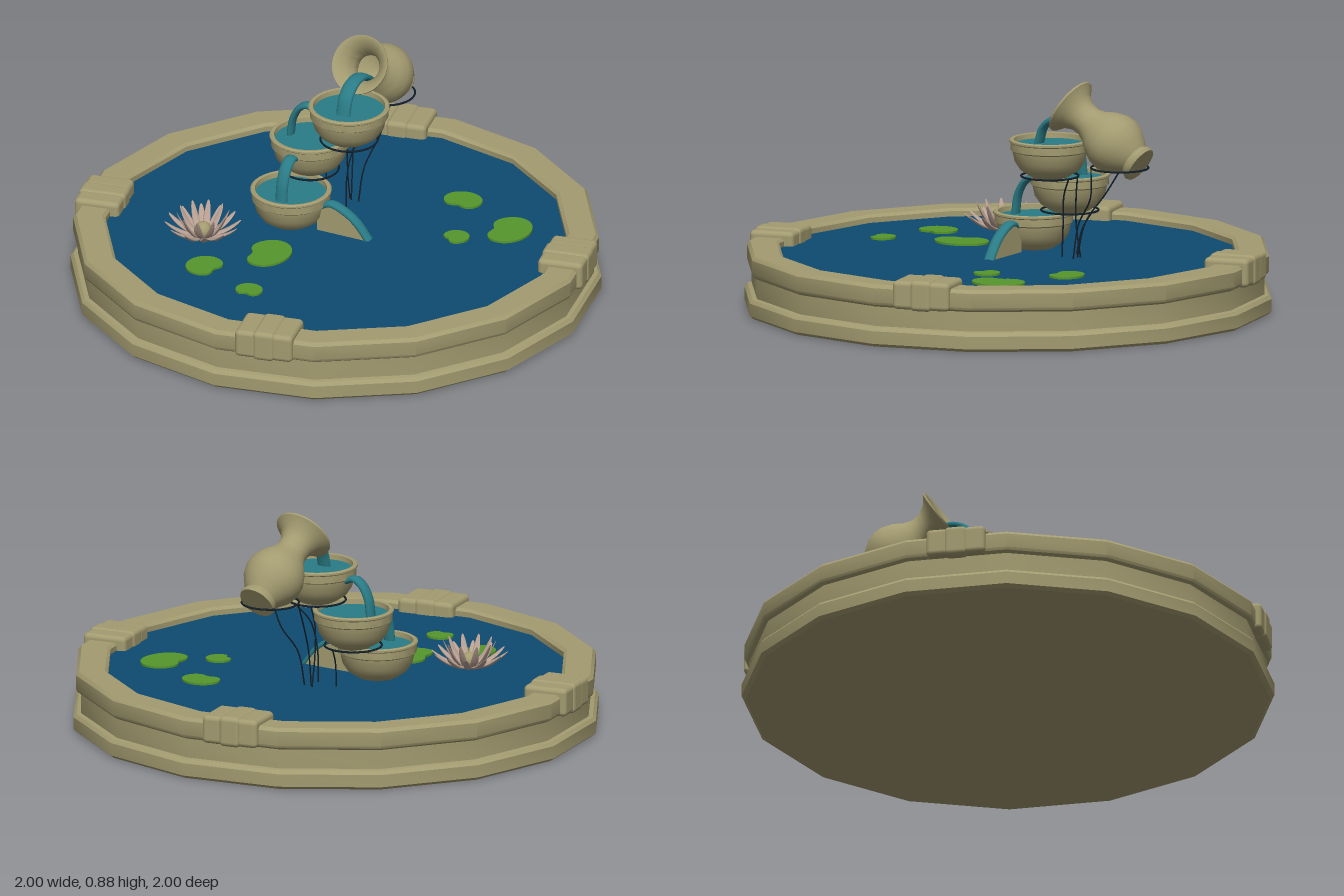
import * as THREE from 'three';
import { toCreasedNormals } from 'three/addons/utils/BufferGeometryUtils.js';
import { RoundedBoxGeometry } from 'three/addons/geometries/RoundedBoxGeometry.js';

const material = (name, color, side = THREE.FrontSide) => {
  const m = new THREE.MeshStandardMaterial({ color, side });
  m.name = name;
  return m;
};
const V = (x, y, z) => new THREE.Vector3(x, y, z);

export function createModel() {
  const model = new THREE.Group();
  model.name = 'fountain';
  const stone = material('stone', 0xa39b70);
  const pool = material('pool water', 0x0e4b72);
  const flow = material('flowing water', 0x2a7c87);
  const leaf = material('lily leaf', 0x55962c);
  const petalPink = material('petal', 0xb8a093);
  const iron = material('iron', 0x12202c);

  const add = (name, geo, mat, parent = model) => {
    const mesh = new THREE.Mesh(geo, mat);
    mesh.name = name;
    parent.add(mesh);
    return mesh;
  };
  const lathe = (pts, seg, crease = 0.5) => toCreasedNormals(
    new THREE.LatheGeometry(pts.map(([r, y]) => new THREE.Vector2(r, y)), seg), crease);

  // Sixteen-sided basin with a stepped wall
  add('basin', lathe([[0, 0], [0.985, 0], [1, 0.012], [1, 0.06], [0.988, 0.073], [0.972, 0.076],
    [0.972, 0.15], [0.985, 0.158], [0.99, 0.168], [0.99, 0.222], [0.978, 0.235], [0.88, 0.235],
    [0.868, 0.225], [0.868, 0.15]], 16), stone);
  const water = add('poolWater', new THREE.CircleGeometry(0.872, 16).rotateX(-Math.PI / 2), pool);
  water.position.y = 0.205;

  // Ribbed saddles over the rim
  for (let i = 0; i < 4; i++) {
    const saddle = new THREE.Group();
    saddle.name = 'rimSaddle';
    for (let j = -1; j <= 1; j++) {
      const big = j ? 0 : 0.008;
      const rib = add('saddleRib', new RoundedBoxGeometry(0.085, 0.108 + big, 0.175 + big, 3, 0.018), stone, saddle);
      rib.position.set(j * 0.07, 0.204, 0.905);
    }
    saddle.rotation.y = Math.PI / 16 + i * Math.PI / 2;
    model.add(saddle);
  }

  // Three stacked bowls with water
  const bowlGeo = lathe([[0, 0], [0.065, 0], [0.08, 0.008], [0.112, 0.03], [0.132, 0.06], [0.14, 0.095],
    [0.141, 0.1], [0.148, 0.105], [0.148, 0.132], [0.153, 0.136], [0.153, 0.143], [0.147, 0.147],
    [0.136, 0.145], [0.132, 0.11]], 32, 0.6);
  const bowlWater = new THREE.CircleGeometry(0.136, 32).rotateX(-Math.PI / 2);
  for (const [x, y, z] of [[-0.03, 0.51, -0.165], [-0.19, 0.357, -0.157], [-0.19, 0.2, 0]]) {
    const bowl = new THREE.Group();
    bowl.name = 'bowl';
    add('bowlShell', bowlGeo, stone, bowl);
    add('bowlWater', bowlWater, flow, bowl).position.y = 0.126;
    bowl.position.set(x, y, z);
    model.add(bowl);
  }

  // Tilted pitcher, its mouth facing forward and up
  const pitcher = add('pitcher', lathe([[0, 0], [0.07, 0], [0.074, 0.012], [0.064, 0.032], [0.083, 0.055],
    [0.105, 0.09], [0.115, 0.125], [0.112, 0.16], [0.096, 0.2], [0.072, 0.235], [0.06, 0.265],
    [0.062, 0.3], [0.08, 0.335], [0.113, 0.36], [0.113, 0.367], [0.105, 0.366], [0.073, 0.34],
    [0.053, 0.3], [0.05, 0.265], [0.064, 0.23], [0.085, 0.19], [0, 0.12]], 32, 0.7), stone);
  pitcher.position.set(-0.03, 0.59, -0.56);
  pitcher.rotation.x = Math.atan2(0.84, 0.54);

  // Falling streams: flattened tubes drawn in the z-y plane, then turned
  const stream = (name, pts, width, x, z, turn) => {
    const path = new THREE.CatmullRomCurve3(pts.map(([d, y]) => V(0, y, d)));
    const s = add(name, new THREE.TubeGeometry(path, 20, 0.013, 10).scale(width / 0.026, 1, 1), flow);
    s.position.set(x, 0, z);
    s.rotation.y = turn;
  };
  stream('pitcherStream', [[-0.32, 0.7], [-0.26, 0.735], [-0.19, 0.735], [-0.14, 0.7], [-0.115, 0.625]], 0.06, -0.03, 0, 0);
  const spill = (y) => [[0, y - 0.012], [0.035, y], [0.07, y - 0.02], [0.098, y - 0.07], [0.11, y - 0.15]];
  stream('upperStream', spill(0.62), 0.05, -0.165, -0.16, -Math.PI / 2);
  stream('middleStream', spill(0.47), 0.05, -0.19, -0.03, 0);
  stream('lowerStream', [[0, 0.3], [0.04, 0.318], [0.1, 0.298], [0.15, 0.262], [0.2, 0.2]], 0.045, -0.06, 0, Math.PI / 2);

  // Stone chute beneath the lowest stream
  const chute = new THREE.Shape();
  chute.moveTo(-0.07, 0.2);
  chute.lineTo(0.135, 0.2);
  chute.quadraticCurveTo(0.07, 0.3, -0.03, 0.313);
  chute.lineTo(-0.07, 0.3);
  add('chute', new THREE.ExtrudeGeometry(chute, { depth: 0.036, bevelEnabled: false, curveSegments: 10 })
    .translate(0, 0, -0.018), stone);

  // Iron rings and thin legs
  const wire = (pts) => add('standLeg', new THREE.TubeGeometry(
    new THREE.CatmullRomCurve3(pts.map((p) => V(...p))), 16, 0.003, 6), iron);
  for (const [x, y, z] of [[-0.03, 0.572, -0.47], [-0.03, 0.515, -0.165], [-0.19, 0.361, -0.157]]) {
    add('standRing', new THREE.TorusGeometry(0.108, 0.004, 6, 32).rotateX(Math.PI / 2), iron).position.set(x, y, z);
  }
  wire([[-0.13, 0.57, -0.43], [-0.11, 0.45, -0.36], [-0.08, 0.34, -0.29], [-0.07, 0.2, -0.26]]);
  wire([[0.03, 0.57, -0.38], [0.0, 0.45, -0.36], [-0.03, 0.34, -0.29], [-0.04, 0.2, -0.26]]);
  wire([[0.0, 0.515, -0.265], [-0.04, 0.44, -0.22], [-0.06, 0.33, -0.205], [-0.06, 0.2, -0.2]]);
  wire([[-0.07, 0.515, -0.262], [-0.08, 0.44, -0.25], [-0.08, 0.33, -0.25], [-0.08, 0.2, -0.27]]);
  wire([[-0.17, 0.36, -0.262], [-0.16, 0.3, -0.23], [-0.15, 0.2, -0.21]]);

  // Kidney-shaped lily pads: x, z, half sizes, notch direction
  for (const [x, z, a, b, notch] of [[0.31, -0.44, 0.075, 0.065, -1.6], [0.575, -0.3, 0.085, 0.105, 3.4],
    [0.425, -0.16, 0.05, 0.05, -2.2], [-0.14, 0.285, 0.085, 0.108, 3.5], [-0.305, 0.485, 0.07, 0.075, -0.2],
    [-0.065, 0.585, 0.052, 0.048, -1.5]]) {
    const pts = [];
    for (let i = 0; i < 40; i++) {
      const t = (i / 40) * Math.PI * 2;
      const d = Math.acos(Math.cos(t - notch));
      const r = 1 - 0.35 * Math.exp(-((d / 0.45) ** 2));
      pts.push(new THREE.Vector2(Math.cos(t) * r * a, Math.sin(t) * r * b));
    }
    const pad = add('lilyPad', new THREE.ExtrudeGeometry(new THREE.Shape(pts), { depth: 0.008, bevelEnabled: false })
      .rotateX(-Math.PI / 2), leaf);
    pad.position.set(x, 0.206, z);
  }

  // Water lily: two rings of petals that curl upward
  const lily = new THREE.Group();
  lily.name = 'waterLily';
  const petal = (length, rise) => {
    const geo = new THREE.SphereGeometry(1, 10, 10).rotateX(Math.PI / 2);
    const p = geo.attributes.position;
    for (let i = 0; i < p.count; i++) {
      const t = (p.getZ(i) + 1) / 2;
      p.setXYZ(i, p.getX(i) * 0.014, p.getY(i) * 0.007 + rise * t * t, 0.015 + t * length);
    }
    geo.computeVertexNormals();
    return geo;
  };
  for (const [count, geo, offset] of [[12, petal(0.13, 0.06), 0], [10, petal(0.085, 0.1), 0.26]]) {
    for (let i = 0; i < count; i++) {
      add('petal', geo, petalPink, lily).rotation.y = offset + (i / count) * Math.PI * 2;
    }
  }
  add('lilyCentre', new THREE.SphereGeometry(0.034, 16, 12), stone, lily).position.y = 0.02;
  lily.position.set(-0.42, 0.218, 0.275);
  model.add(lily);

  return model;
}
